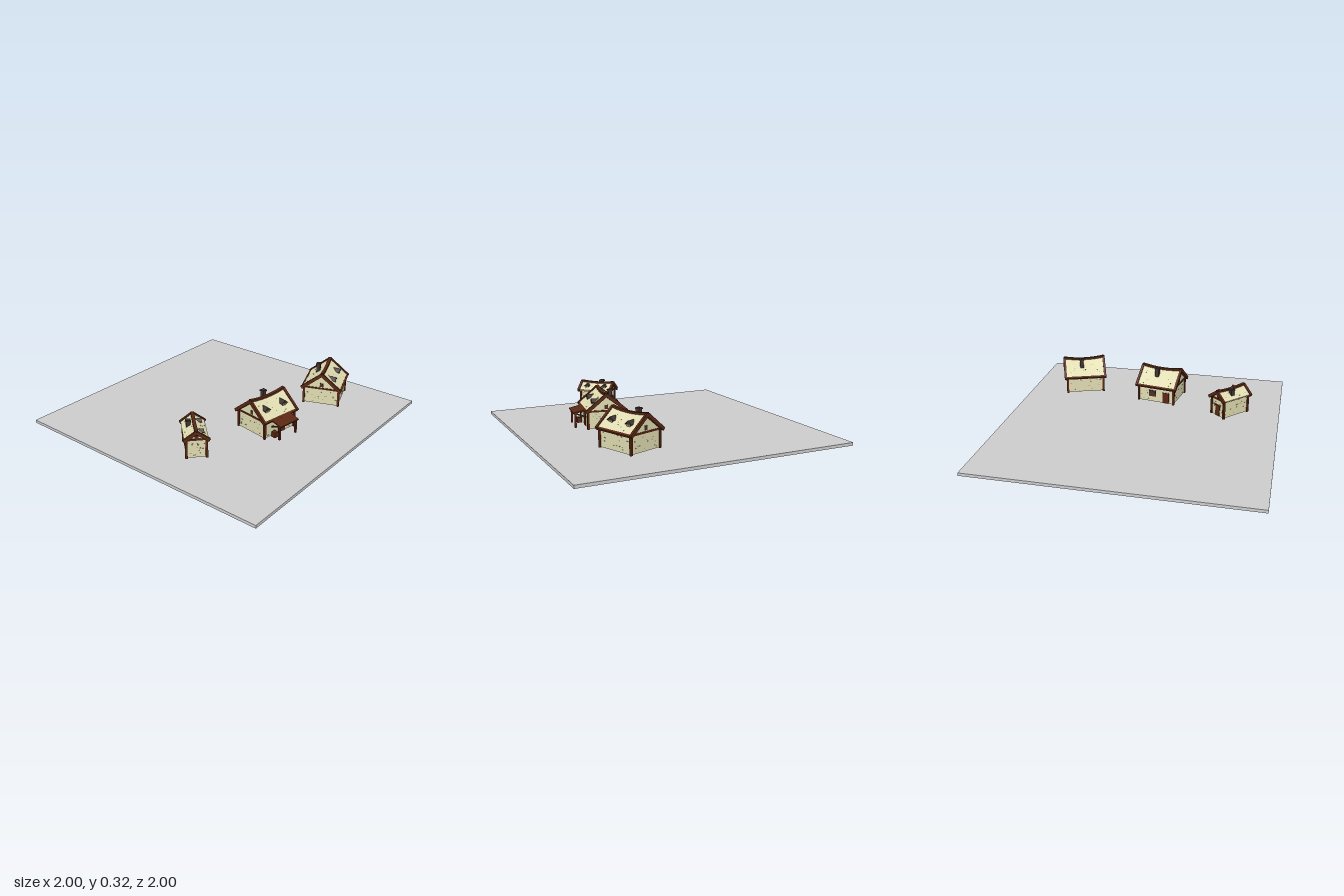
import * as THREE from 'three';
import { mergeGeometries } from 'three/addons/utils/BufferGeometryUtils.js';

const mat = (color) => new THREE.MeshStandardMaterial({ color, flatShading: true, side: THREE.DoubleSide });
const GREY = mat(0xcccccc), CREAM = mat(0xe0dcb2), WOOD = mat(0x5a2814), DARK = mat(0x40332f), STONE = mat(0x8f8a6c);
const BASE = 0.068;

let seed = 7;
const rnd = () => (seed = (seed * 16807) % 2147483647) / 2147483647;

function add(parent, name, geo, material) {
  const m = new THREE.Mesh(geo, material);
  m.name = name;
  parent.add(m);
  return m;
}

function box(parent, name, material, [w, h, d], [x, y, z]) {
  return add(parent, name, new THREE.BoxGeometry(w, h, d).translate(x, y, z), material);
}

// Board running from one (x, y) point to another, with its depth along z
function board([x0, y0], [x1, y1], thick, z0, z1) {
  const g = new THREE.BoxGeometry(Math.hypot(x1 - x0, y1 - y0), thick, z1 - z0, 1, 1, 8);
  return g.rotateZ(Math.atan2(y1 - y0, x1 - x0)).translate((x0 + x1) / 2, (y0 + y1) / 2, (z0 + z1) / 2);
}

function outline(points) {
  return new THREE.Shape(points.map(([x, y]) => new THREE.Vector2(x, y)));
}

function createHouse({ name, pos, angle, w, L, eave, ridge, lift, panelW, dormerZ, dormerH, chimney, eaveTrim }) {
  const house = new THREE.Group();
  house.name = name;
  house.position.set(pos[0], 0, pos[1]);
  house.rotation.y = angle;

  // The ridge sags in the middle and rises toward both gables
  const sag = (g) => {
    const p = g.attributes.position;
    for (let i = 0; i < p.count; i++) {
      const k = THREE.MathUtils.clamp((p.getY(i) - eave) / (ridge - eave), 0, 1.1);
      p.setY(i, p.getY(i) + lift * k * (p.getZ(i) / L) ** 2);
    }
    g.computeVertexNormals();
    return g;
  };
  const roofY = (x) => ridge - (ridge - eave) * Math.abs(x) / w;

  // Walls with gables
  const ww = w - 0.018, wl = L - 0.014, top = roofY(ww) - 0.004;
  const body = new THREE.ExtrudeGeometry(
    outline([[-ww, BASE], [ww, BASE], [ww, top], [0, ridge - 0.004], [-ww, top]]),
    { depth: 2 * wl, steps: 8, bevelEnabled: false });
  add(house, 'walls', sag(body.translate(0, 0, -wl)), CREAM);

  // Timber frame
  const frame = [];
  for (const sx of [-1, 1]) {
    for (const sz of [-1, 1]) {
      const h = top - BASE + 0.004;
      frame.push(new THREE.BoxGeometry(0.016, h, 0.016).translate(sx * ww, BASE + h / 2 - 0.004, sz * wl));
    }
    frame.push(new THREE.BoxGeometry(0.012, 0.014, 2 * wl).translate(sx * ww, top - 0.005, 0));
    frame.push(new THREE.BoxGeometry(2 * ww, 0.012, 0.01).translate(0, top - 0.005, sx * wl));
  }
  add(house, 'timberFrame', mergeGeometries(frame), WOOD);

  // Roof panels, bargeboards, ridge and eave beams
  const panels = [], trim = [sag(new THREE.BoxGeometry(0.022, 0.016, 2 * L + 0.006, 1, 1, 8).translate(0, ridge + 0.004, 0))];
  for (const s of [-1, 1]) {
    panels.push(sag(board([0, ridge], [s * panelW, roofY(panelW)], 0.01, -L + 0.008, L - 0.008)));
    for (const e of [-1, 1]) {
      trim.push(sag(board([0, ridge], [s * w, eave], 0.022, e * L - 0.009, e * L + 0.009)));
    }
    if (eaveTrim) trim.push(board([s * (w - 0.014), eave + 0.008], [s * w, eave], 0.016, -L, L));
  }
  add(house, 'roofPanels', mergeGeometries(panels), CREAM);
  add(house, 'roofTrim', mergeGeometries(trim), WOOD);

  // Dormers
  const front = 0.62 * w, dy = roofY(front) - 0.004, dw = dormerH * 0.5;
  for (const s of [-1, 1]) {
    const dormer = new THREE.Group();
    dormer.name = 'dormer';
    dormer.position.z = s * dormerZ;
    const side = (k, d, y0) => new THREE.ExtrudeGeometry(
      outline([[-dw * k, y0], [dw * k, y0], [dw * k, dormerH * 0.55], [0, dormerH * (0.85 + 0.15 * k)], [-dw * k, dormerH * 0.55]]),
      { depth: d, bevelEnabled: false }).rotateY(Math.PI / 2);
    add(dormer, 'dormerBody', side(0.8, front * 0.7, -0.004).translate(front * 0.3, dy, 0), DARK);
    const slopes = [-1, 1].map((k) => board([0, dormerH], [k * dw * 1.15, dormerH * 0.5], 0.005, 0, front * 0.85)
      .rotateY(Math.PI / 2).translate(front * 0.2, dy, 0));
    add(dormer, 'dormerRoof', mergeGeometries(slopes), DARK);
    for (const k of [-1, 1]) {
      box(dormer, 'dormerPane', STONE, [0.003, dormerH * 0.4, dw * 0.5], [front, dy + dormerH * 0.32, k * dw * 0.36]);
    }
    house.add(dormer);
  }

  // Chimney
  const [cx, cz, cTop] = chimney, cy = roofY(cx) - 0.02;
  box(house, 'chimney', DARK, [0.028, cTop - cy, 0.028], [cx, (cTop + cy) / 2, cz]);
  box(house, 'chimneyCap', DARK, [0.036, 0.01, 0.036], [cx, cTop - 0.008, cz]);

  // Scattered stones on the walls
  const stones = [], span = top - BASE - 0.03;
  for (let i = 0; i < 56; i++) {
    const s = i % 2 ? 1 : -1, y = BASE + 0.012 + rnd() * span, len = 0.007 + rnd() * 0.007, t = (rnd() * 2 - 1) * 0.85;
    stones.push(i % 4 < 2
      ? new THREE.BoxGeometry(0.003, 0.004, len).translate(s * ww, y, t * wl)
      : new THREE.BoxGeometry(len, 0.004, 0.003).translate(t * ww, y, s * wl));
  }
  // Loose shingles on the roof
  for (let i = 0; i < 16; i++) {
    const s = i % 2 ? 1 : -1, x = s * panelW * (0.2 + 0.7 * rnd()), z = (rnd() * 2 - 1) * 0.8 * L;
    const y = roofY(x) + 0.0065, slope = (ridge - eave) / w;
    stones.push(sag(board([x, y], [x + s * 0.004, y - 0.004 * slope], 0.002, z, z + 0.008)));
  }
  add(house, 'stones', mergeGeometries(stones), STONE);

  // Small attic windows in both gables
  for (const s of [-1, 1]) {
    const y = eave + (ridge - eave) * 0.3;
    box(house, 'atticFrame', WOOD, [0.026, 0.03, 0.004], [0, y, s * wl]);
    box(house, 'atticWindow', DARK, [0.018, 0.022, 0.007], [0, y, s * wl]);
  }
  house.userData = { ww, wl };
  return house;
}

export function createModel() {
  const model = new THREE.Group();
  model.name = 'village';
  box(model, 'ground', GREY, [2, 0.022, 2], [0, 0.011, 0]);

  const rad = THREE.MathUtils.degToRad;
  const large = { w: 0.147, L: 0.156, eave: 0.187, ridge: 0.293, lift: 0.014, panelW: 0.142, dormerZ: 0.082, dormerH: 0.046, eaveTrim: true };
  const back = createHouse({ ...large, name: 'backHouse', pos: [0.47, -0.578], angle: rad(20.5), chimney: [-0.06, -0.022, 0.322] });
  const middle = createHouse({ ...large, name: 'middleHouse', pos: [0.4, 0.078], angle: rad(-9.6), chimney: [-0.055, -0.018, 0.322] });
  const small = createHouse({
    name: 'smallHouse', pos: [0.217, 0.631], angle: rad(47.3), w: 0.085, L: 0.13, eave: 0.198, ridge: 0.252, lift: 0.008,
    panelW: 0.078, dormerZ: 0.071, dormerH: 0.036, chimney: [-0.039, -0.022, 0.275], eaveTrim: false,
  });
  model.add(back, middle, small);

  // Middle house: doors, rear window and side porch
  const { ww } = middle.userData;
  box(middle, 'frontDoor', WOOD, [0.008, 0.09, 0.064], [ww, BASE + 0.045, -0.02]);
  box(middle, 'backDoor', WOOD, [0.008, 0.085, 0.05], [-ww, BASE + 0.043, 0.08]);
  box(middle, 'windowFrame', WOOD, [0.006, 0.05, 0.06], [-ww, 0.135, -0.03]);
  box(middle, 'windowPane', DARK, [0.01, 0.038, 0.048], [-ww, 0.135, -0.03]);
  const porch = new THREE.Group();
  porch.name = 'porch';
  add(porch, 'porchRoof', board([0.125, 0.195], [0.225, 0.172], 0.009, -0.088, 0.088), WOOD);
  box(porch, 'porchBeam', WOOD, [0.012, 0.012, 0.17], [0.208, 0.165, 0]);
  for (const s of [-1, 1]) {
    box(porch, 'porchPost', WOOD, [0.013, 0.1, 0.013], [0.208, BASE + 0.05, s * 0.078]);
    add(porch, 'porchBrace', board([0.134, 0.14], [0.205, 0.168], 0.009, s * 0.078 - 0.005, s * 0.078 + 0.005), WOOD);
  }
  box(porch, 'crate', WOOD, [0.034, 0.038, 0.034], [0.155, BASE + 0.019, 0.07]);
  middle.add(porch);

  // Small house: gable door with lintel
  const end = small.userData.wl;
  box(small, 'door', WOOD, [0.046, 0.08, 0.008], [0, BASE + 0.04, -end]);
  box(small, 'doorLintel', WOOD, [0.06, 0.01, 0.016], [0, BASE + 0.083, -end]);
  return model;
}
